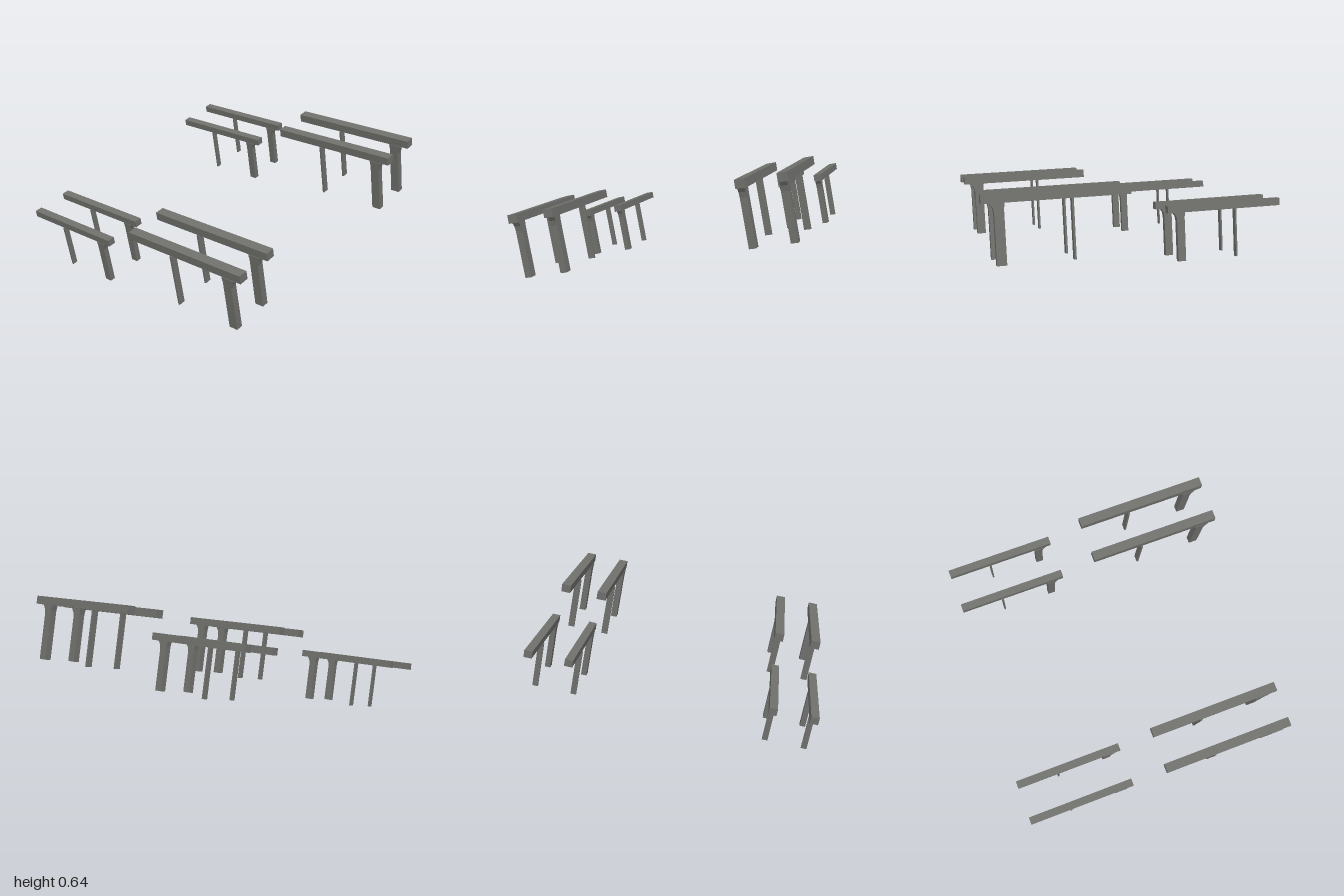
import * as THREE from 'three';

// Eight identical tilted rails on legs: two sizes, two sites, two rows each.
export function createModel() {
  const model = new THREE.Group();
  const grey = new THREE.MeshStandardMaterial({ color: 0x6f706c });
  grey.name = 'weathered grey';

  const L = 0.556, H = 0.034, W = 0.039, BOTTOM = -0.247;

  const beamGeo = new THREE.BoxGeometry(L, H, W);

  // broad post whose head flares out under the beam
  const t = 0.0185, depth = 0.028;
  const profile = new THREE.Shape([
    [-t, BOTTOM], [t, BOTTOM], [t, -0.055], [t + 0.004, -0.035], [t + 0.016, -H / 2],
    [-t - 0.004, -H / 2], [-t, -0.04],
  ].map(([x, y]) => new THREE.Vector2(x, y)));
  const postGeo = new THREE.ExtrudeGeometry(profile, { depth, bevelEnabled: false });
  postGeo.translate(0, 0, -depth / 2);

  // thin plate leg near the middle
  const legHeight = -H / 2 - BOTTOM;
  const legGeo = new THREE.BoxGeometry(0.008, legHeight, depth);

  function bench(position, scale) {
    const group = new THREE.Group();
    group.name = 'bench';
    const add = (name, geo, x, y, z) => {
      const mesh = new THREE.Mesh(geo, grey);
      mesh.name = name;
      mesh.position.set(x, y, z);
      group.add(mesh);
    };
    add('beam', beamGeo, 0, 0, 0);
    add('endPost', postGeo, 0.212, 0, 0.008);
    add('middleLeg', legGeo, -0.06, BOTTOM + legHeight / 2, 0.01);
    group.position.copy(position);
    group.rotation.set(0.19, -0.824, 0, 'YXZ');
    group.scale.setScalar(scale);
    model.add(group);
  }

  // first bench of each size, repeated over rows and sites
  const sizes = [
    { start: new THREE.Vector3(-0.791, 0.254, 0.111), scale: 1 },
    { start: new THREE.Vector3(-0.265, 0.361, 0.7045), scale: 1.23 },
  ];
  const rowStep = new THREE.Vector3(0.139, 0.037, -0.129);
  const siteStep = new THREE.Vector3(0.862, 0.221, -0.743);
  for (const { start, scale } of sizes)
    for (let site = 0; site < 2; site++)
      for (let row = 0; row < 2; row++)
        bench(start.clone().addScaledVector(siteStep, site).addScaledVector(rowStep, row), scale);

  return model;
}
